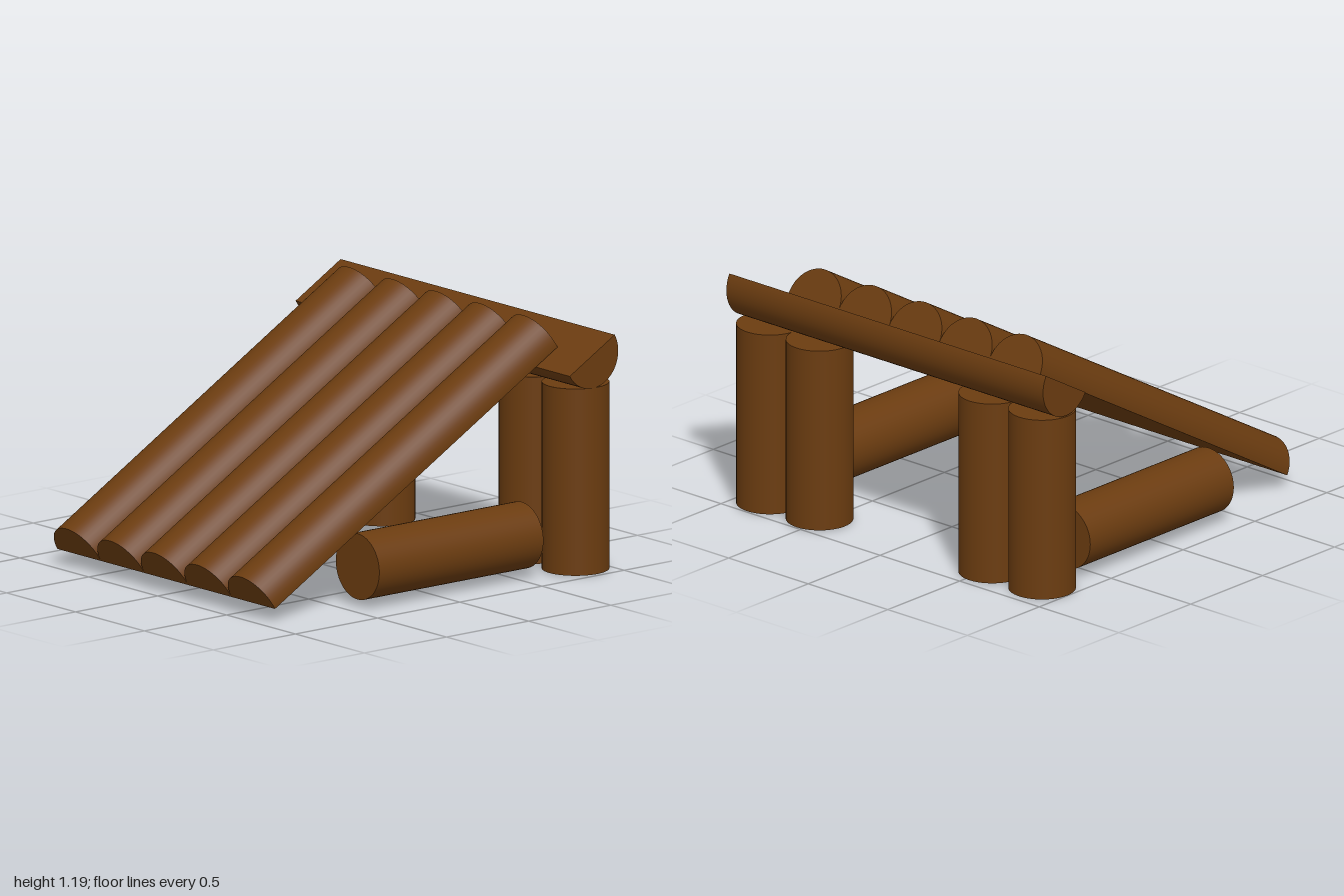
import * as THREE from 'three';
import { mergeGeometries } from 'three/addons/utils/BufferGeometryUtils.js';

const R = 0.158; // every log shares one radius
const SEG = 48;

// Round log along y
const roundLog = (length) => new THREE.CylinderGeometry(R, R, length, SEG);

// Split log along y: bulges toward +z, flat sawn face toward -z
function halfLog(length) {
  const bark = new THREE.CylinderGeometry(R, R, length, SEG / 2, 1, false, -Math.PI / 2, Math.PI);
  const sawn = new THREE.PlaneGeometry(2 * R, length).rotateY(Math.PI);
  return mergeGeometries([bark, sawn]);
}

export function createModel() {
  const model = new THREE.Group();
  model.name = 'logLeanTo';
  const wood = new THREE.MeshStandardMaterial({ color: 0x6b3c10 });

  function add(parent, name, geometry, position, rotation = [0, 0, 0]) {
    const mesh = new THREE.Mesh(geometry, wood);
    mesh.name = name;
    mesh.position.set(...position);
    mesh.rotation.set(...rotation);
    parent.add(mesh);
  }

  // Sloping roof of five split logs, flat side down, pitched at 30 degrees
  const roof = new THREE.Group();
  roof.name = 'roof';
  const roofLog = halfLog(1.985);
  for (let i = 0; i < 5; i++) {
    add(roof, 'roofLog', roofLog, [-0.033 + (i - 2) * 0.316, 0.56, 0.061], [-Math.PI / 3, 0, 0]);
  }
  model.add(roof);

  // Split cross beam, flat side up under the roof's top end
  add(model, 'crossBeam', halfLog(1.99), [0, 1.057, -0.81], [Math.PI * 2 / 3, 0, Math.PI / 2]);

  // Paired posts under each end of the beam
  const post = roundLog(0.895);
  for (const x of [-0.84, -0.527]) add(model, 'rightPost', post, [x, 0.4475, -0.803]);
  for (const x of [0.523, 0.835]) add(model, 'leftPost', post, [x, 0.4525, -0.842]);

  // Logs lying along each side
  const sideLog = roundLog(0.998);
  add(model, 'rightSideLog', sideLog, [-0.807, 0.19, -0.107], [Math.PI / 2, 0, 0]);
  add(model, 'leftSideLog', sideLog, [0.757, 0.19, -0.081], [Math.PI / 2, 0, 0]);

  return model;
}
